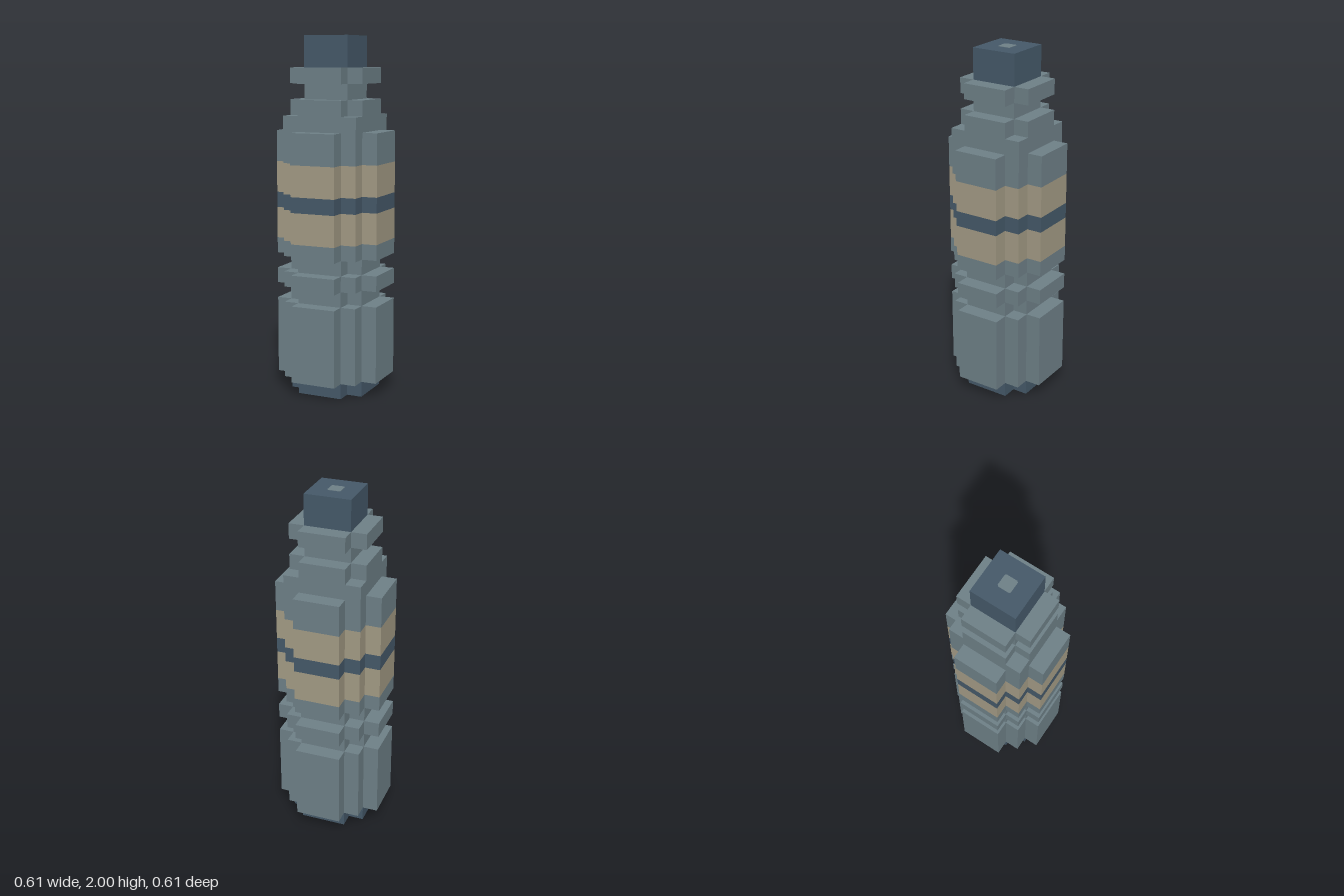
import * as THREE from 'three';

const U = 2 / 23; // one block

const paint = (name, color) => {
  const m = new THREE.MeshStandardMaterial({ color });
  m.name = name;
  return m;
};

// One corner of each outline in blocks; repeated by quarter turns
const OUTLINES = {
  core: [[1.5, 1.5]],
  square: [[2.5, 2.5]],
  cross: [[2.5, 1.5], [1.5, 1.5], [1.5, 2.5]],
  wide: [[3.5, 1.5], [2.5, 1.5], [2.5, 2.5], [1.5, 2.5], [1.5, 3.5]],
  stud: [[0.43, 0.35], [0.35, 0.43]],
};

function layerGeometry(outline, y0, y1) {
  const points = [];
  for (let q = 0; q < 4; q++) {
    for (const [x, y] of OUTLINES[outline]) {
      points.push(new THREE.Vector2(x * U, y * U)
        .rotateAround(new THREE.Vector2(), q * Math.PI / 2));
    }
  }
  const geo = new THREE.ExtrudeGeometry(new THREE.Shape(points), {
    depth: (y1 - y0) * U, bevelEnabled: false,
  });
  geo.rotateX(-Math.PI / 2);
  geo.translate(0, y0 * U, 0);
  return geo;
}

export function createModel() {
  const steel = paint('steel grey', 0x6e8087);
  const navy = paint('dark navy', 0x455969);
  const tan = paint('tan', 0xa39b85);

  // name, outline, bottom and top in blocks, colour
  const layers = [
    ['base', 'cross', 0, 1, navy],
    ['lowerBody', 'wide', 1, 6, steel],
    ['lowerGroove', 'cross', 6, 7, steel],
    ['ring', 'wide', 7, 8, steel],
    ['upperGroove', 'cross', 8, 9, steel],
    ['bodyRim', 'wide', 9, 10, steel],
    ['lowerBand', 'wide', 10, 12, tan],
    ['centreStripe', 'wide', 12, 13, navy],
    ['upperBand', 'wide', 13, 15, tan],
    ['upperBody', 'wide', 15, 17, steel],
    ['shoulder', 'square', 17, 18, steel],
    ['collar', 'cross', 18, 19, steel],
    ['neck', 'core', 19, 20, steel],
    ['neckRing', 'cross', 20, 21, steel],
    ['cap', 'core', 21, 23, navy],
    ['capStud', 'stud', 23, 23.02, steel],
  ];

  const group = new THREE.Group();
  group.name = 'canister';
  for (const [name, outline, y0, y1, material] of layers) {
    const mesh = new THREE.Mesh(layerGeometry(outline, y0, y1), material);
    mesh.name = name;
    group.add(mesh);
  }
  return group;
}
